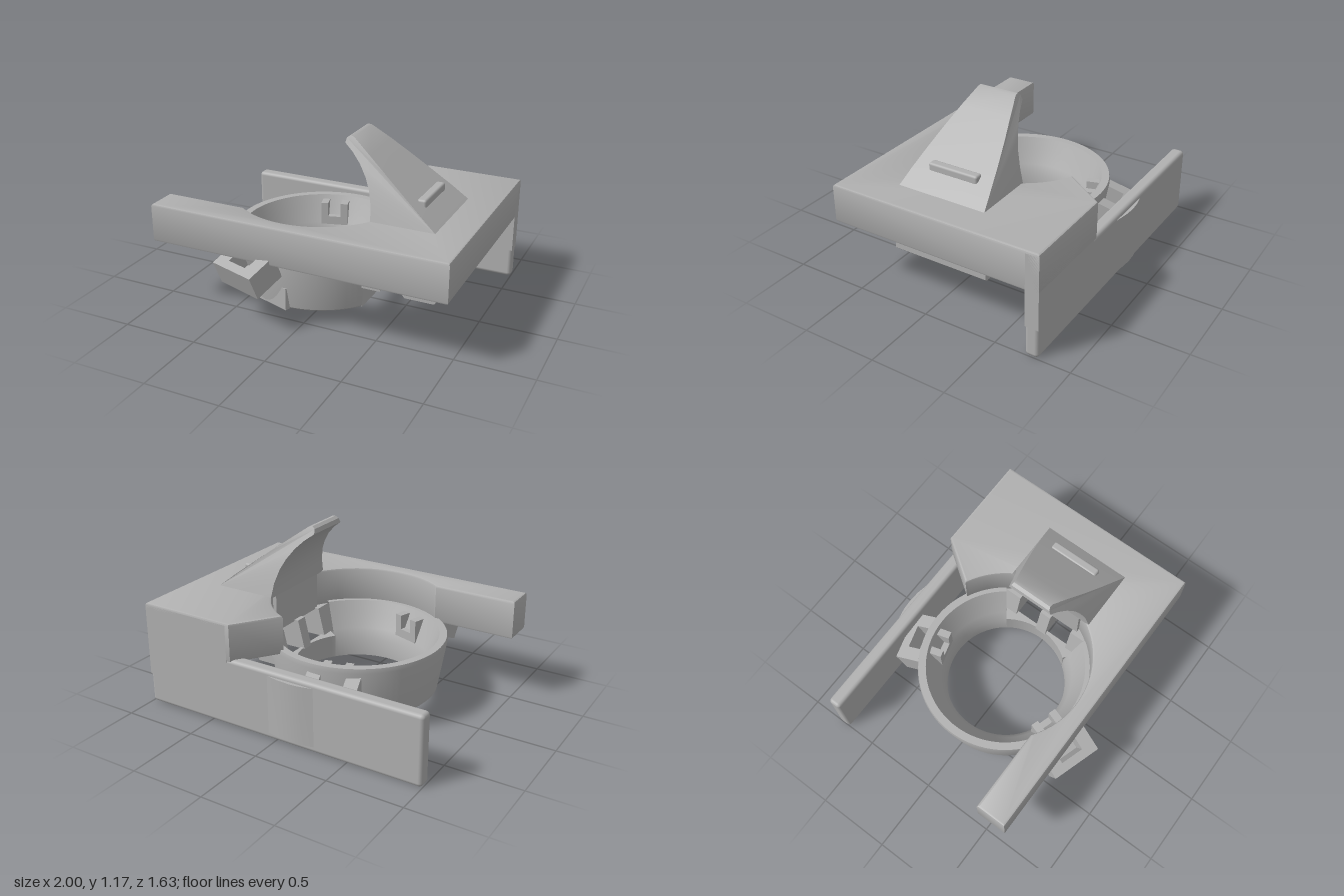
import * as THREE from 'three';
import { toCreasedNormals } from 'three/addons/utils/BufferGeometryUtils.js';
import { RoundedBoxGeometry } from 'three/addons/geometries/RoundedBoxGeometry.js';

const CX = -0.11; // bowl axis

export function createModel() {
  const root = new THREE.Group();
  const grey = new THREE.MeshStandardMaterial({ color: 0xb0b0b0, side: THREE.DoubleSide });
  grey.name = 'plain grey';

  const add = (name, geo, parent = root) => {
    const mesh = new THREE.Mesh(geo, grey);
    mesh.name = name;
    parent.add(mesh);
    return mesh;
  };
  const box = (name, x0, x1, y0, y1, z0, z1, parent = root, r = 0) => {
    const s = [x1 - x0, y1 - y0, z1 - z0];
    const geo = r ? new RoundedBoxGeometry(...s, 2, r) : new THREE.BoxGeometry(...s);
    return add(name, geo.translate((x0 + x1) / 2, (y0 + y1) / 2, (z0 + z1) / 2), parent);
  };
  const poly = (pts) => new THREE.Shape(pts.map((p) => new THREE.Vector2(...p)));
  // plan outline (x, z) extruded between two heights
  const slab = (shape, y0, y1, bevel = 0) => {
    const geo = new THREE.ExtrudeGeometry(shape, {
      depth: y1 - y0 - 2 * bevel, curveSegments: 48, bevelEnabled: bevel > 0,
      bevelSize: bevel, bevelThickness: bevel, bevelOffset: -bevel, bevelSegments: 2,
    });
    return toCreasedNormals(geo.rotateX(Math.PI / 2).translate(0, y1 - bevel, 0), 0.5);
  };
  // side profile (x, y) extruded across z
  const across = (pts, z0, z1) =>
    new THREE.ExtrudeGeometry(poly(pts), { depth: z1 - z0, bevelEnabled: false }).translate(0, 0, z0);

  // Deck and front rail in one plan, with the round cut-out
  const R = 0.56;
  const deck = new THREE.Shape();
  deck.moveTo(-1, 0.66);
  deck.lineTo(-1, 0.45);
  deck.absarc(CX, 0, R, Math.PI - Math.asin(0.45 / R), -1.13, true);
  deck.lineTo(0.33, -0.79);
  deck.lineTo(1, -0.79);
  deck.lineTo(1, 0.66);
  deck.closePath();
  add('deckAndRail', slab(deck, 0.44, 0.7, 0.015));

  // Back wall, its joint with the deck, and the shallow bulge
  box('backWall', -1, 1, 0, 0.46, -0.79, -0.7, root, 0.025);
  box('wallJoint', 0.36, 1, 0.2, 0.685, -0.79, -0.7);
  const bulge = poly([[-0.3, -0.785], [-0.19, -0.808], [-0.12, -0.813], [-0.04, -0.808], [0.08, -0.785]]);
  add('wallBulge', slab(bulge, 0.04, 0.43));

  // Open bowl ring, with a gap on the deck side
  const gap = 0.63;
  const profile = [
    [0.52, 0.1], [0.53, 0.11], [0.585, 0.44], [0.58, 0.47], [0.53, 0.47],
    [0.5, 0.4], [0.45, 0.29], [0.415, 0.22], [0.41, 0.1], [0.52, 0.1],
  ].map((p) => new THREE.Vector2(...p));
  const bowl = new THREE.LatheGeometry(profile, 72, Math.PI / 2 + gap, Math.PI * 2 - 2 * gap);
  add('bowl', toCreasedNormals(bowl.translate(CX, 0, 0), 0.5));

  // Flat wall closing the gap at the bottom
  const flat = new THREE.Shape();
  flat.moveTo(0.32, -0.313);
  flat.lineTo(0.32, 0.313);
  flat.absarc(CX, 0, 0.41, gap, -gap, true);
  flat.closePath();
  add('bowlFlat', slab(flat, 0.1, 0.26));

  // Struts from the bowl to the deck, leaving two windows
  for (const [z0, z1] of [[-0.34, -0.21], [-0.04, 0.04], [0.21, 0.34]]) {
    add('strut', across([[0.29, 0.25], [0.45, 0.25], [0.54, 0.45], [0.34, 0.45]], z0, z1));
  }

  // Hooked catch below the deck
  add('catch', across([
    [0.53, 0.45], [0.59, 0.4], [0.67, 0.36], [0.6, 0.27], [0.62, 0.25], [0.81, 0.25], [0.82, 0.26], [0.82, 0.45],
  ], -0.32, 0.35));

  // Horn: side profile tapered in width towards the tip
  const horn = [[0.37, 0.69], [0.8, 0.69], [0.69, 0.78], [0.56, 0.88], [0.43, 0.98], [0.3, 1.08],
    [0.18, 1.165], [0.155, 1.17], [0.135, 1.155], [0.13, 1.125], [0.19, 1.08], [0.25, 1.02],
    [0.3, 0.95], [0.335, 0.88], [0.36, 0.79]];
  const hornGeo = across(horn, -1, 1);
  const pos = hornGeo.attributes.position;
  for (let i = 0; i < pos.count; i++) {
    const t = (pos.getY(i) - 0.69) / 0.48;
    pos.setZ(i, 0.01 + pos.getZ(i) * (0.31 - 0.175 * t + 0.05 * t * (1 - t)));
  }
  hornGeo.computeVertexNormals();
  add('horn', toCreasedNormals(hornGeo, 0.5));
  box('hornRoot', 0.37, 0.6, 0.44, 0.695, -0.24, 0.24);
  const ridge = box('hornRidge', -0.03, 0.03, -0.03, 0.03, -0.17, 0.18, root, 0.015);
  ridge.position.set(0.645, 0.81, 0);

  // Hollow tilted clips on the outside of the bowl, each with an inner tab
  const clip = (name, dx, dz, r, y, tilt) => {
    const arm = new THREE.Group();
    arm.name = name;
    arm.position.x = CX;
    arm.rotation.y = Math.atan2(dx, dz);
    const frame = new THREE.Group();
    frame.name = name + 'Frame';
    frame.position.set(0, y, r);
    frame.rotation.x = tilt;
    arm.add(frame);
    root.add(arm);
    box('outerWall', -0.17, 0.17, -0.085, 0.085, 0.04, 0.1, frame);
    box('innerWall', -0.17, 0.17, -0.085, 0.03, -0.12, -0.07, frame);
    for (const s of [-1, 1]) {
      box('sideWall', s * 0.125 - 0.045, s * 0.125 + 0.045, -0.085, 0.085, -0.12, 0.04, frame);
      box('innerTabSide', s * 0.07 - 0.025, s * 0.07 + 0.025, 0.28, 0.44, 0.43, 0.54, arm);
    }
    box('clipFloor', -0.08, 0.08, -0.085, -0.05, -0.07, 0.04, frame);
    box('innerTab', -0.07, 0.07, 0.28, 0.34, 0.43, 0.52, arm);
    return arm;
  };
  const front = clip('frontClip', -0.31, 0.95, 0.68, 0.37, 0.38);
  clip('backClip', -0.27, -0.96, 0.61, 0.3, 0.36);
  box('clipPad', -0.17, 0.19, 0.1, 0.25, 0.47, 0.53, front);

  return root;
}
